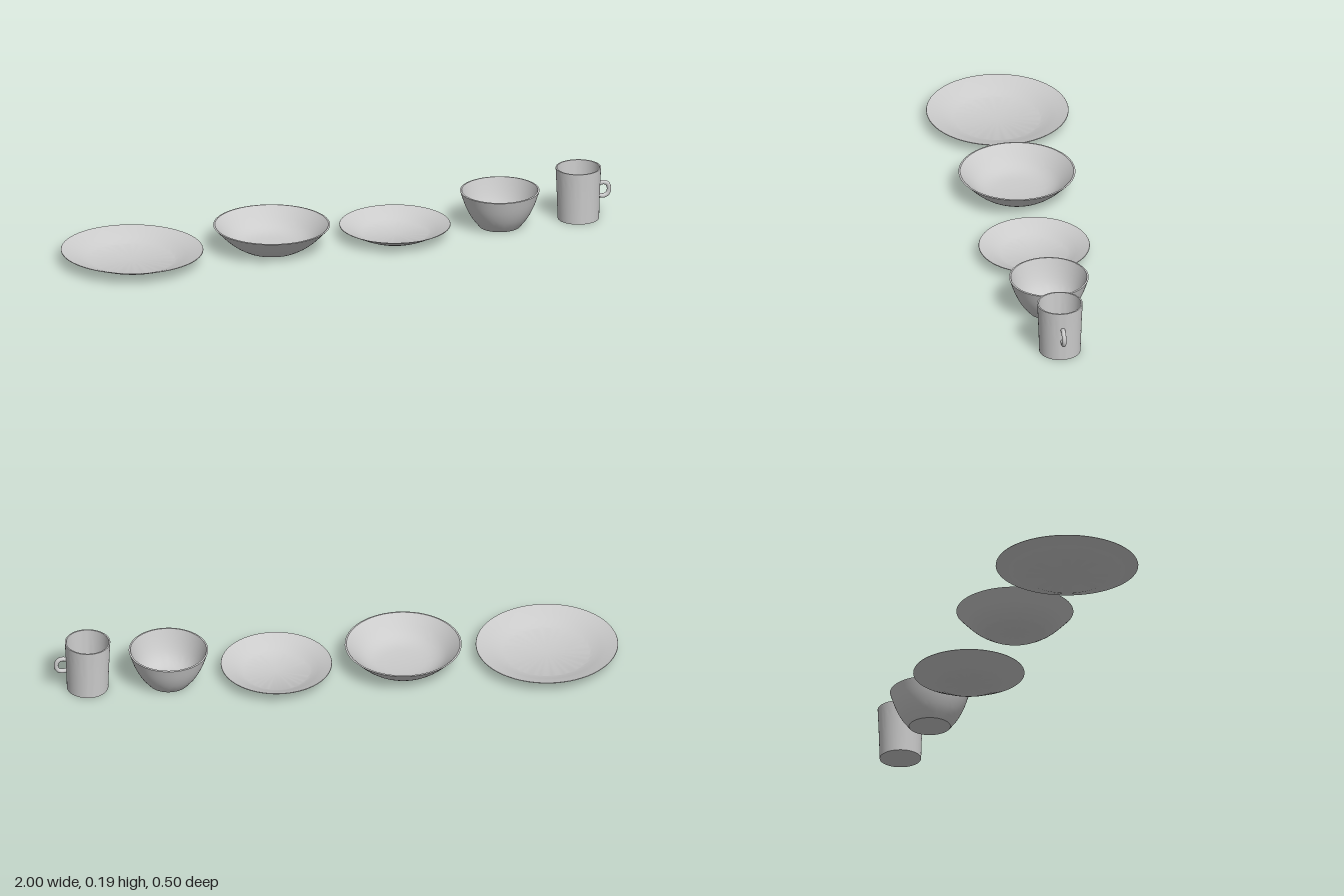
import * as THREE from 'three';
import { toCreasedNormals } from 'three/addons/utils/BufferGeometryUtils.js';

const material = new THREE.MeshStandardMaterial({ color: 0xcccccc, side: THREE.DoubleSide });

// Smooth curve through [radius, height] pairs
function curve(pairs, steps = 10) {
  return new THREE.SplineCurve(pairs.map(([r, y]) => new THREE.Vector2(r, y))).getPoints(steps);
}

// Revolve an outer wall (foot to rim) and an inner wall (rim to floor) into a closed vessel
function vessel(name, x, outer, inner) {
  const points = [
    new THREE.Vector2(0, 0),
    ...curve(outer),
    ...curve(inner),
    new THREE.Vector2(0, inner[inner.length - 1][1]),
  ];
  const geometry = toCreasedNormals(new THREE.LatheGeometry(points, 64), 0.6);
  const mesh = new THREE.Mesh(geometry, material);
  mesh.name = name;
  mesh.position.x = x;
  return mesh;
}

// Flat plate: level well, shallow rising shoulder, wide rim
function plate(name, x, radius, well) {
  const at = (t) => well + (radius - well) * t;
  return vessel(name, x,
    [[well - 0.005, 0], [at(0.25), 0.011], [at(0.55), 0.023], [radius, 0.041]],
    [[radius - 0.001, 0.043], [at(0.55), 0.027], [at(0.25), 0.015], [well, 0.006]]);
}

export function createModel() {
  const model = new THREE.Group();
  model.name = 'tableware';

  model.add(plate('dinnerPlate', -0.75, 0.251, 0.15));
  model.add(plate('sidePlate', 0.21, 0.196, 0.115));

  // Wide soup bowl
  model.add(vessel('soupBowl', -0.24,
    [[0.104, 0], [0.135, 0.018], [0.165, 0.042], [0.206, 0.084]],
    [[0.2, 0.085], [0.16, 0.045], [0.13, 0.023], [0.09, 0.01], [0.02, 0.006]]));

  // Deep small bowl
  model.add(vessel('cerealBowl', 0.593,
    [[0.073, 0], [0.1, 0.035], [0.122, 0.078], [0.14, 0.131]],
    [[0.134, 0.132], [0.115, 0.078], [0.093, 0.037], [0.062, 0.013], [0.015, 0.006]]));

  // Mug with a slightly tapered body and a rounded inner floor
  const mug = new THREE.Group();
  mug.name = 'mug';
  mug.position.x = 0.88;
  mug.add(vessel('mugBody', 0,
    [[0.073, 0], [0.0745, 0.05], [0.077, 0.12], [0.08, 0.189]],
    [[0.075, 0.189], [0.072, 0.12], [0.069, 0.05], [0.062, 0.02], [0.036, 0.007]]));

  // Looped handle, its ends sunk in the mug wall
  const path = new THREE.CatmullRomCurve3([
    [0.072, 0.122], [0.092, 0.124], [0.106, 0.117], [0.112, 0.098],
    [0.106, 0.081], [0.092, 0.074], [0.072, 0.077],
  ].map(([x, y]) => new THREE.Vector3(x, y, 0)));
  const handle = new THREE.Mesh(new THREE.TubeGeometry(path, 32, 0.008, 12), material);
  handle.name = 'mugHandle';
  mug.add(handle);
  model.add(mug);

  return model;
}
